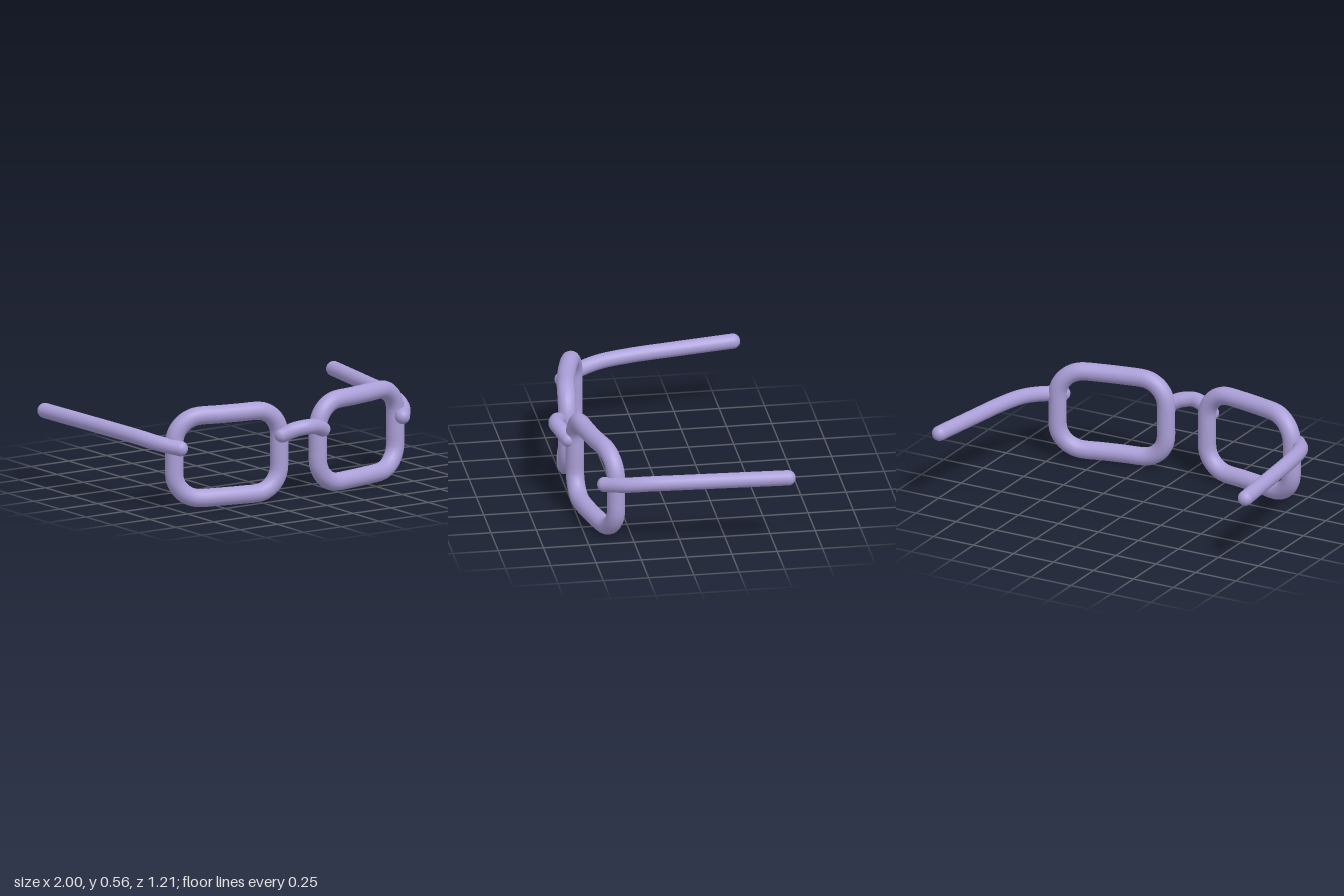
import * as THREE from 'three';

const frameLilac = new THREE.MeshStandardMaterial({ color: 0xaa9fd8 });

// Smooth rod along a list of points, with rounded ends
function rod(name, points, radius) {
  const group = new THREE.Group();
  group.name = name;
  const path = new THREE.CatmullRomCurve3(points.map((p) => new THREE.Vector3(...p)));
  const shaft = new THREE.Mesh(new THREE.TubeGeometry(path, 48, radius, 20), frameLilac);
  shaft.name = name + 'Shaft';
  group.add(shaft);
  for (const t of [0, 1]) {
    const cap = new THREE.Mesh(new THREE.SphereGeometry(radius, 20, 14), frameLilac);
    cap.name = name + 'Cap';
    cap.position.copy(path.getPoint(t));
    group.add(cap);
  }
  return group;
}

// Rounded rectangle loop, wrapped backwards along the curve of the face
function rim(name, side) {
  const x0 = 0.128, x1 = 0.733, y0 = 0.051, y1 = 0.511, r = 0.145;
  const corners = [[x1 - r, y1 - r], [x0 + r, y1 - r], [x0 + r, y0 + r], [x1 - r, y0 + r]];
  const points = [];
  const add = (x, y) => points.push(new THREE.Vector3(side * x, y, 0.482 - 0.252 * x * x));
  corners.forEach(([cx, cy], i) => {
    for (let k = 0; k <= 6; k++) {
      const a = (i + k / 6) * Math.PI / 2;
      add(cx + r * Math.cos(a), cy + r * Math.sin(a));
    }
    // Points along the straight run to the next corner
    const [nx, ny] = corners[(i + 1) % 4];
    const a = (i + 1) * Math.PI / 2;
    for (const t of [0.25, 0.5, 0.75]) {
      add(cx + (nx - cx) * t + r * Math.cos(a), cy + (ny - cy) * t + r * Math.sin(a));
    }
  });
  const path = new THREE.CatmullRomCurve3(points, true);
  const mesh = new THREE.Mesh(new THREE.TubeGeometry(path, 144, 0.05, 20, true), frameLilac);
  mesh.name = name;
  return mesh;
}

export function createModel() {
  const model = new THREE.Group();
  model.name = 'glasses';

  // Rims and temples, mirrored
  for (const [label, s] of [['left', 1], ['right', -1]]) {
    model.add(rim(label + 'Rim', s));
    model.add(rod(label + 'Temple', [
      [s * 0.736, 0.347, 0.41],
      [s * 0.81, 0.367, 0.305],
      [s * 0.858, 0.386, 0.18],
      [s * 0.892, 0.397, 0],
      [s * 0.918, 0.404, -0.22],
      [s * 0.957, 0.414, -0.567],
    ], 0.042));
  }

  // Nose bridge
  model.add(rod('bridge', [
    [-0.135, 0.368, 0.515],
    [-0.07, 0.395, 0.543],
    [0, 0.405, 0.56],
    [0.07, 0.395, 0.543],
    [0.135, 0.368, 0.515],
  ], 0.042));

  return model;
}
